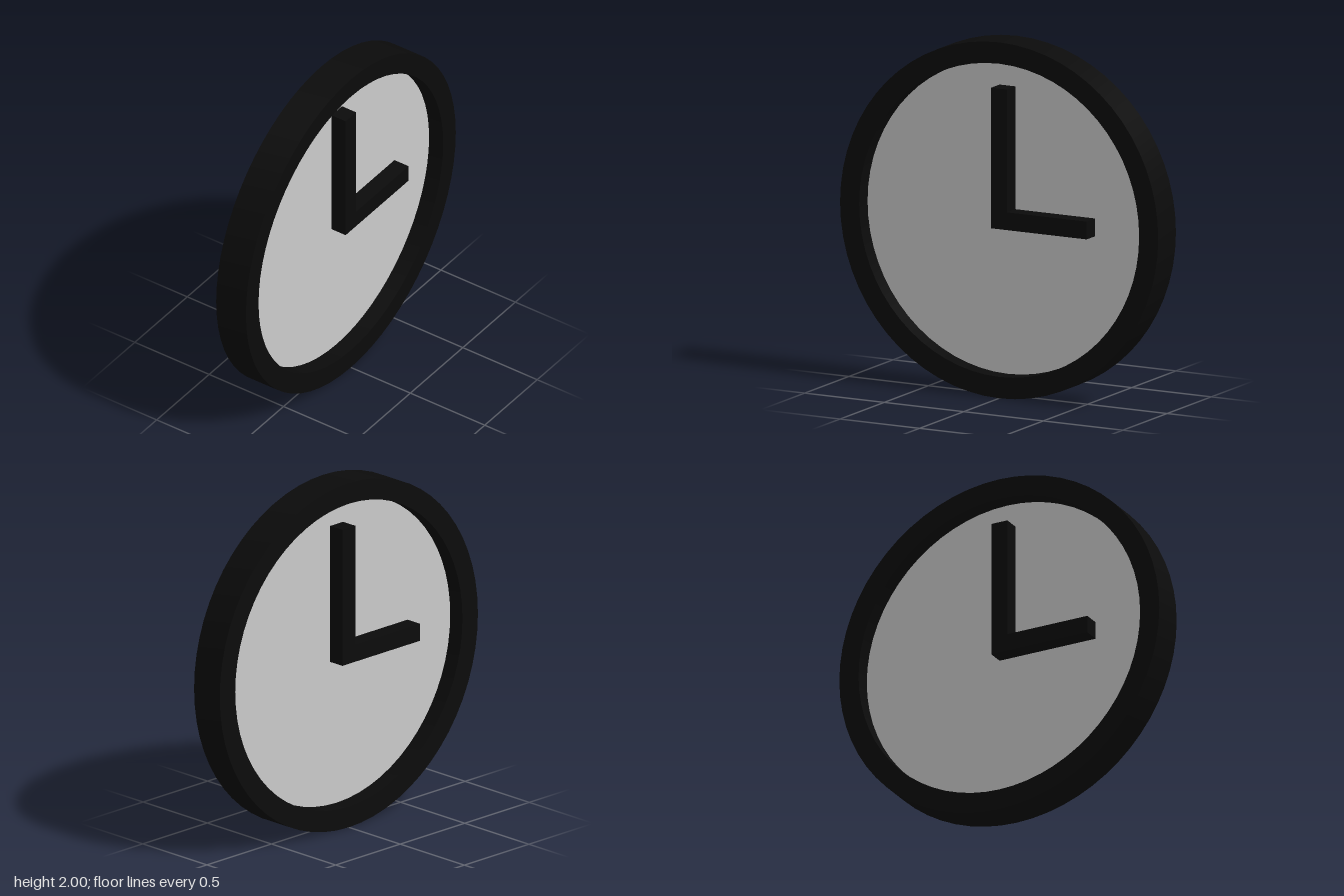
import * as THREE from 'three';
import { toCreasedNormals } from 'three/addons/utils/BufferGeometryUtils.js';

const SIDES = 32;
const DEPTH = 0.2;      // rim thickness along x
const FACE_HALF = 0.005; // half thickness of the dial plate

export function createModel() {
  const clock = new THREE.Group();
  clock.name = 'clock';
  const black = new THREE.MeshStandardMaterial({ color: 0x0b0b0b });
  const grey = new THREE.MeshStandardMaterial({ color: 0xcccccc });

  const add = (parent, name, geometry, material) => {
    const mesh = new THREE.Mesh(geometry, material);
    mesh.name = name;
    parent.add(mesh);
    return mesh;
  };

  // Rim: square-edged ring, its axis along x
  const ring = new THREE.Shape().absarc(0, 0, 1, 0, Math.PI * 2, false);
  ring.holes.push(new THREE.Path().absarc(0, 0, 0.88, 0, Math.PI * 2, true));
  const rim = new THREE.ExtrudeGeometry(ring, { depth: DEPTH, bevelEnabled: false, curveSegments: SIDES });
  rim.translate(0, 0, -DEPTH / 2).rotateY(Math.PI / 2);
  add(clock, 'rim', toCreasedNormals(rim, Math.PI / 6), black).position.y = 1;

  // Dial: thin plate in the middle of the rim, seen from both sides
  const dial = new THREE.CylinderGeometry(0.9, 0.9, FACE_HALF * 2, SIDES).rotateZ(Math.PI / 2);
  add(clock, 'dial', dial, grey).position.y = 1;

  // Hands: one pair on each side, the second turned half way round
  const handDepth = DEPTH / 2 - FACE_HALF;
  const handX = FACE_HALF + handDepth / 2;
  for (const [name, turn] of [['leftHands', 0], ['rightHands', Math.PI]]) {
    const hands = new THREE.Group();
    hands.name = name;
    hands.rotation.y = turn;
    add(hands, 'minuteHand', new THREE.BoxGeometry(handDepth, 0.79, 0.1), black)
      .position.set(handX, 1.345, 0);
    add(hands, 'hourHand', new THREE.BoxGeometry(handDepth, 0.1, 0.5), black)
      .position.set(handX, 1, -0.3);
    clock.add(hands);
  }
  return clock;
}
